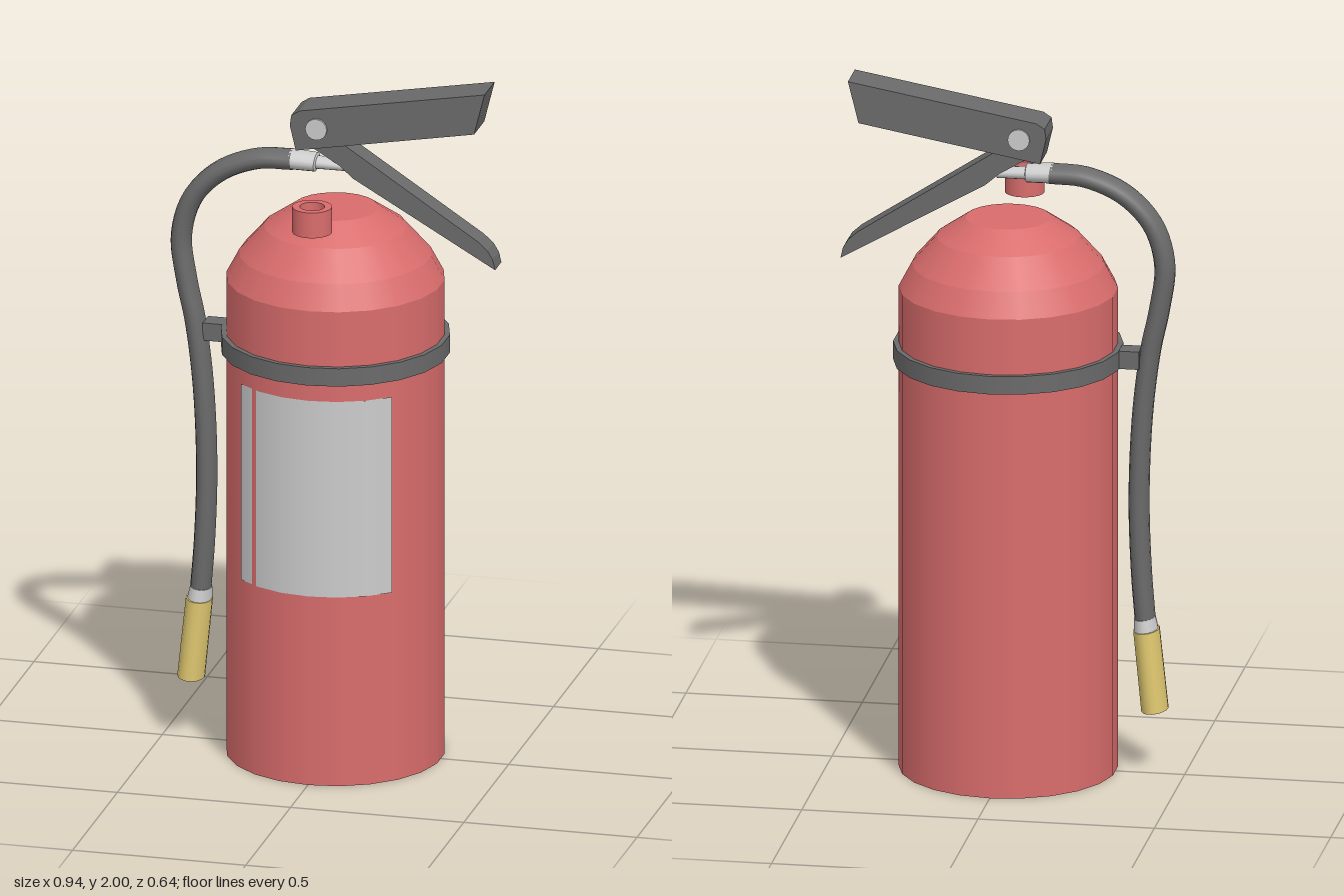
import * as THREE from 'three';
import { mergeGeometries } from 'three/addons/utils/BufferGeometryUtils.js';

const mat = (color) => new THREE.MeshStandardMaterial({ color, side: THREE.DoubleSide });
const red = mat(0xd96c6c), dark = mat(0x6a6a6a), grey = mat(0xcccccc), brass = mat(0xe0c870);
const v = (x, y) => new THREE.Vector3(x, y, 0);

function add(parent, name, geometry, material, x = 0, y = 0, z = 0) {
  const mesh = new THREE.Mesh(geometry, material);
  mesh.name = name;
  mesh.position.set(x, y, z);
  parent.add(mesh);
  return mesh;
}

// Lathe with a hard edge at every profile point, smooth around the axis
function bandedLathe(profile, segments) {
  const bands = [];
  for (let i = 0; i < profile.length - 1; i++) {
    const pair = [profile[i], profile[i + 1]].map(([r, y]) => new THREE.Vector2(r, y));
    bands.push(new THREE.LatheGeometry(pair, segments));
  }
  return mergeGeometries(bands);
}

// Side profile extruded symmetrically across z
function plate(points, width, z = 0) {
  const shape = new THREE.Shape(points.map(([x, y]) => new THREE.Vector2(x, y)));
  const geometry = new THREE.ExtrudeGeometry(shape, { depth: width, bevelEnabled: false });
  return geometry.translate(0, 0, z - width / 2);
}

// Turned part whose profile height runs from a towards b
function turned(parent, name, profile, a, b, material) {
  const mesh = add(parent, name, bandedLathe(profile, 16), material, a.x, a.y, 0);
  mesh.quaternion.setFromUnitVectors(v(0, 1), b.clone().sub(a).normalize());
  return mesh;
}

export function createModel() {
  const model = new THREE.Group();
  model.name = 'fireExtinguisher';

  // Tank with stepped dome and flat top
  add(model, 'tank', bandedLathe([
    [0, 0], [0.307, 0], [0.307, 1.405], [0.27, 1.475], [0.2, 1.555], [0.12, 1.61], [0, 1.61],
  ], 22), red);

  // Strap around the tank and its hose clip
  add(model, 'strap', bandedLathe([
    [0.307, 1.19], [0.322, 1.19], [0.322, 1.243], [0.307, 1.243], [0.307, 1.19],
  ], 22), dark);
  add(model, 'hoseClip', new THREE.BoxGeometry(0.075, 0.052, 0.06), dark, -0.338, 1.216, 0);

  // Curved label on the front
  const label = new THREE.CylinderGeometry(0.309, 0.309, 0.58, 6, 1, true, -Math.PI / 4, Math.PI / 2);
  add(model, 'label', label, grey, 0.002, 0.85, 0);

  // Hollow collar in front of the dome top
  add(model, 'collar', bandedLathe([
    [0.035, 0], [0.056, 0], [0.056, 0.075], [0.035, 0.075], [0.035, 0],
  ], 20), red, -0.008, 1.613, 0.228);

  // Hose assembly, oval in section
  const hose = new THREE.Group();
  hose.name = 'hoseAssembly';
  hose.position.z = 0.006;
  hose.scale.z = 1.45;
  model.add(hose);
  const path = new THREE.CatmullRomCurve3([
    v(-0.12, 1.742), v(-0.22, 1.736), v(-0.33, 1.69), v(-0.41, 1.605), v(-0.443, 1.49),
    v(-0.428, 1.36), v(-0.403, 1.24), v(-0.38, 1.05), v(-0.37, 0.81), v(-0.376, 0.6), v(-0.388, 0.44),
  ]);
  add(hose, 'hose', new THREE.TubeGeometry(path, 64, 0.029, 14), dark);
  turned(hose, 'hoseInlet', [
    [0, 0], [0.028, 0], [0.026, 0.075], [0.018, 0.078], [0.015, 0.16], [0, 0.16],
  ], v(-0.128, 1.743), v(0.03, 1.737), grey);
  turned(hose, 'nozzleFerrule', [[0, 0], [0.03, 0], [0.034, 0.035], [0, 0.035]],
    v(-0.386, 0.455), v(-0.39, 0.42), grey);
  turned(hose, 'nozzle', [
    [0, 0], [0.037, 0], [0.038, 0.235], [0.032, 0.235], [0.03, 0.02], [0, 0.02],
  ], v(-0.391, 0.42), v(-0.415, 0.185), brass);

  // Upper handle: channel open underneath
  const handle = new THREE.Group();
  handle.name = 'upperHandle';
  model.add(handle);
  const side = [
    [-0.1, 1.787], [-0.117, 1.86], [-0.113, 1.89], [-0.09, 1.905], [0.445, 2], [0.415, 1.88],
  ];
  for (const s of [-1, 1]) add(handle, 'handleSide', plate(side, 0.014, s * 0.05), dark);
  add(handle, 'handleWeb', plate([
    ...side, [0.401, 1.878], [0.427, 1.983], [-0.088, 1.892], [-0.102, 1.885], [-0.104, 1.86], [-0.087, 1.789],
  ], 0.1), dark);

  // Lower lever, hinged inside the upper handle
  add(model, 'lowerLever', plate([
    [-0.08, 1.87], [-0.01, 1.88], [0.03, 1.81], [0.42, 1.555], [0.448, 1.53], [0.463, 1.505],
    [0.47, 1.475], [0.06, 1.71], [0.02, 1.745], [-0.05, 1.787], [-0.09, 1.8],
  ], 0.07), dark);

  // Hinge pin through both handles
  const pin = new THREE.CylinderGeometry(0.031, 0.031, 0.128, 16).rotateX(Math.PI / 2);
  add(model, 'hingePin', pin, grey, -0.04, 1.856, 0);

  return model;
}
